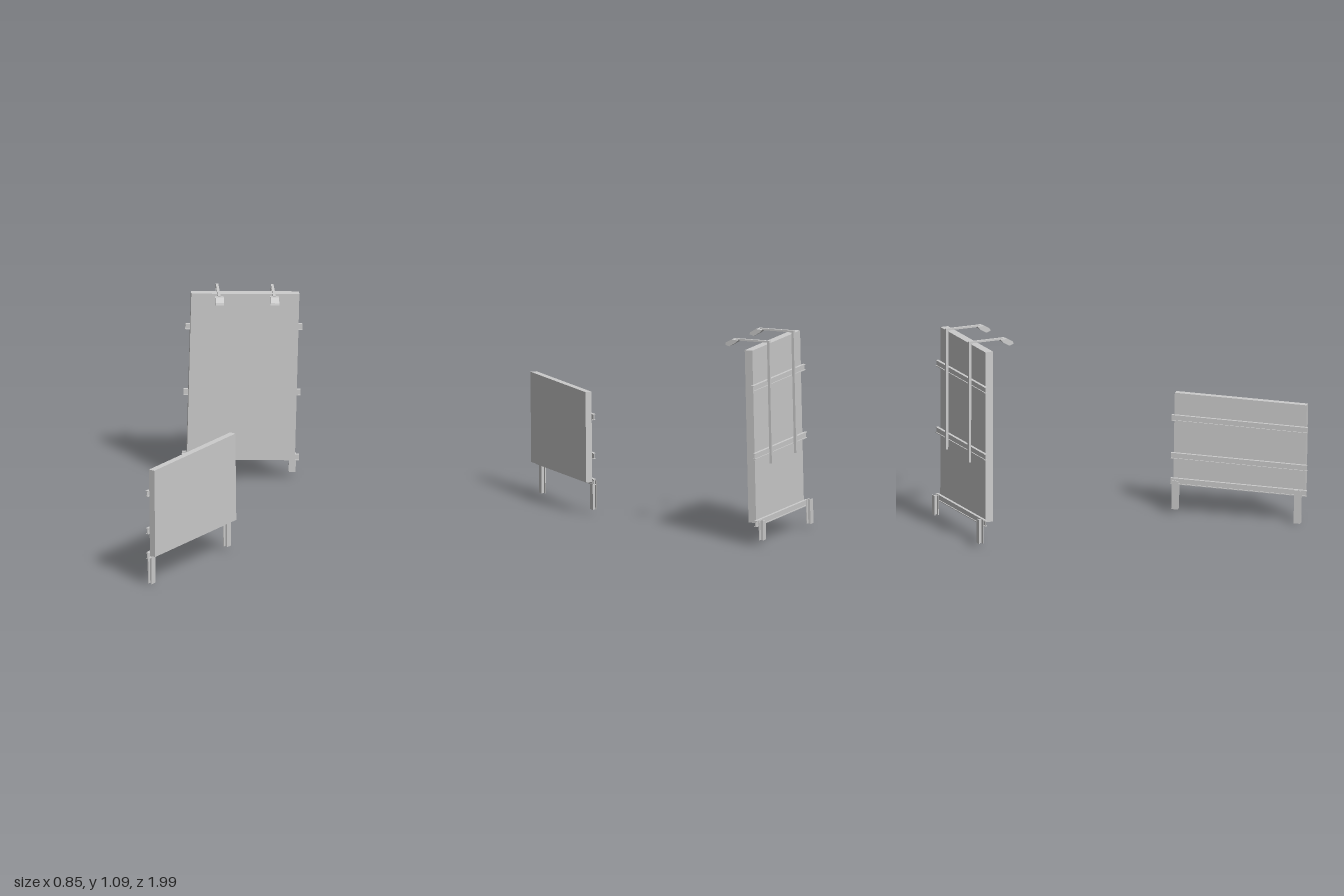
import * as THREE from 'three';

const material = new THREE.MeshStandardMaterial({ color: 0xcccccc, flatShading: true });

function add(parent, name, geometry, x = 0, y = 0, z = 0) {
  const mesh = new THREE.Mesh(geometry, material);
  mesh.name = name;
  mesh.position.set(x, y, z);
  parent.add(mesh);
  return mesh;
}

function box(parent, name, w, h, d, x, y, z) {
  return add(parent, name, new THREE.BoxGeometry(w, h, d), x, y, z);
}

// I-shaped section of width w (along x) and depth d (along y), flanges parallel to x
function beamGeometry(w, d, length, t = 0.004) {
  const a = w / 2, b = d / 2, s = t / 2;
  const pts = [[-a, -b], [a, -b], [a, -b + t], [s, -b + t], [s, b - t], [a, b - t],
    [a, b], [-a, b], [-a, b - t], [-s, b - t], [-s, -b + t], [-a, -b + t]];
  const shape = new THREE.Shape(pts.map(([x, y]) => new THREE.Vector2(x, y)));
  return new THREE.ExtrudeGeometry(shape, { depth: length, bevelEnabled: false })
    .translate(0, 0, -length / 2);
}

// Flood lamp: lens-shaped side profile (forward, up) extruded sideways
function lampGeometry() {
  const pts = [[0, 0], [0.012, -0.014], [0.05, -0.036], [0.074, -0.028], [0.07, -0.016], [0.035, 0.003]];
  const shape = new THREE.Shape(pts.map(([x, y]) => new THREE.Vector2(x, y)));
  return new THREE.ExtrudeGeometry(shape, { depth: 0.046, bevelEnabled: false })
    .translate(0, 0, -0.023).rotateY(-Math.PI / 2);
}

// Origin of each sign: bottom centre of the front face of its panel
function billboard({ name, width, height, thick, position, rotation, rails, railHalf, posts, postZ }) {
  const sign = new THREE.Group();
  sign.name = name;
  sign.position.set(...position);
  sign.rotation.set(...rotation, 'YXZ');

  box(sign, 'panel', width, height, thick, 0, height / 2, -thick / 2);

  // Horizontal rails behind the panel
  for (const y of rails) {
    const rail = add(sign, 'rail', beamGeometry(0.016, 0.033, railHalf * 2), 0, y, -thick - 0.008);
    rail.rotation.y = Math.PI / 2;
  }

  // Upright posts
  for (const [x, bottom, top] of posts) {
    const post = add(sign, 'post', beamGeometry(0.036, 0.025, top - bottom), x, (top + bottom) / 2, postZ);
    post.rotation.x = -Math.PI / 2;
  }
  return sign;
}

// Back bar, overhanging arm and lamp
function lampBracket(x, height) {
  const bracket = new THREE.Group();
  bracket.name = 'lampBracket';
  bracket.position.x = x;
  const top = height + 0.029, bottom = height * 0.32;
  box(bracket, 'backBar', 0.014, top - bottom, 0.014, 0, (top + bottom) / 2, -0.073);
  box(bracket, 'lampArm', 0.014, 0.01, 0.2, 0, top - 0.005, 0.02);
  add(bracket, 'lamp', lampGeometry(), 0, top - 0.006, 0.1);
  return bracket;
}

export function createModel() {
  const model = new THREE.Group();
  model.name = 'billboards';

  const tall = billboard({
    name: 'tallBillboard', width: 0.576, height: 0.935, thick: 0.045,
    position: [-0.121, 0.126, -0.756], rotation: [0.012, 0.571, -0.025],
    rails: [0, 0.365, 0.733], railHalf: 0.312,
    posts: [[-0.29, -0.11, 0.022], [0.28, -0.09, 0.015]], postZ: -0.077,
  });
  for (const x of [-0.147, 0.147]) tall.add(lampBracket(x, 0.935));
  model.add(tall);

  model.add(billboard({
    name: 'wideBillboard', width: 0.726, height: 0.486, thick: 0.035,
    position: [0.3735, 0.172, 0.625], rotation: [0, 1.443, 0.017],
    rails: [0, 0.14, 0.35], railHalf: 0.375,
    posts: [[-0.329, -0.166, 0.015], [0.346, -0.152, 0.005]], postZ: -0.05,
  }));
  return model;
}
